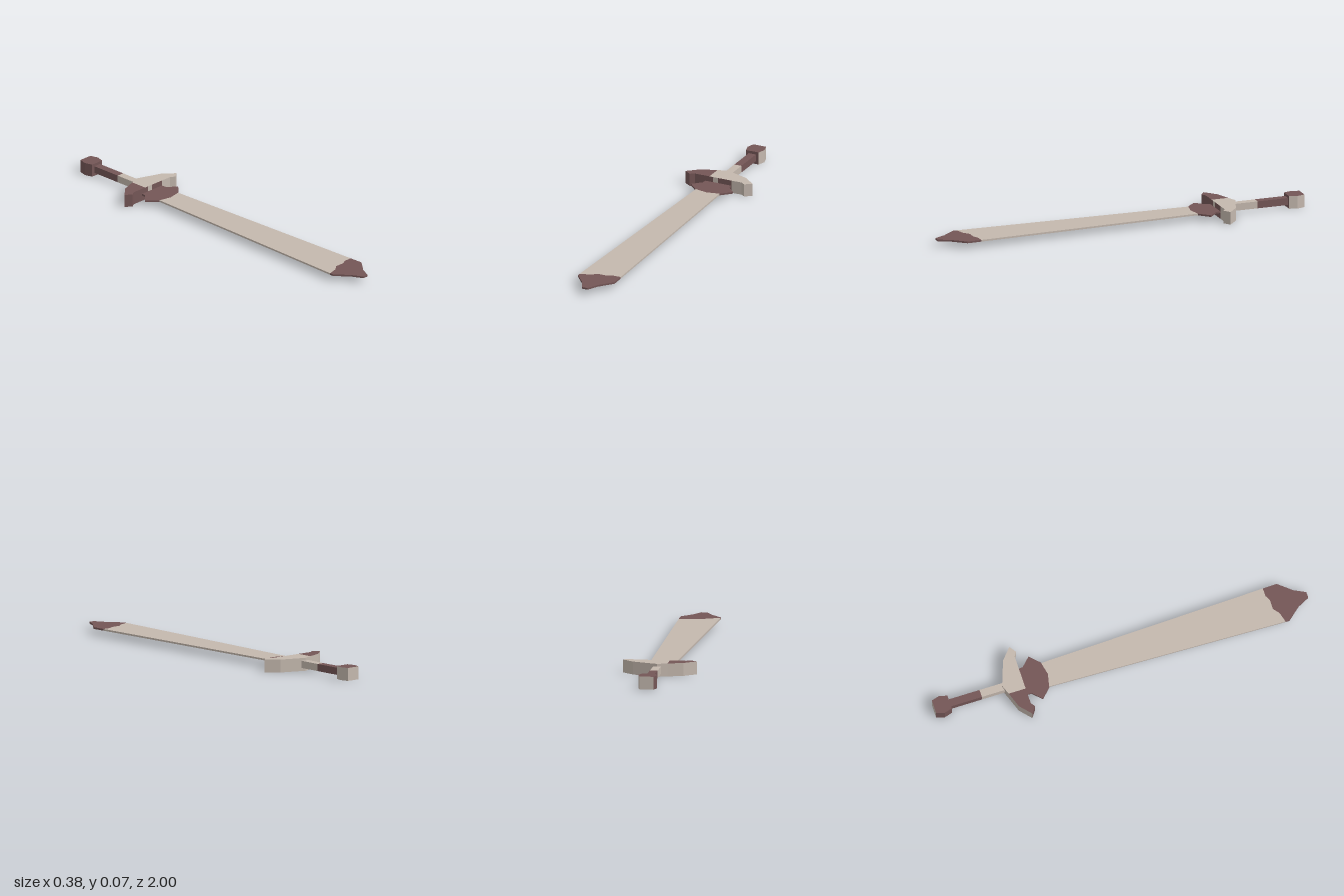
import * as THREE from 'three';

export function createModel() {
  const group = new THREE.Group();
  group.name = 'sword';

  const pale = new THREE.MeshStandardMaterial({ color: 0xc4b8ae });
  pale.name = 'pale steel';
  const brown = new THREE.MeshStandardMaterial({ color: 0x745656 });
  brown.name = 'dark brown';

  // Upright prism from an outline of [x, z] points; isBrown picks each face's colour.
  function prism(name, outline, y0, y1, isBrown) {
    const shape = new THREE.Shape(outline.map(([x, z]) => new THREE.Vector2(x, -z)));
    const geo = new THREE.ExtrudeGeometry(shape, { depth: y1 - y0, bevelEnabled: false });
    geo.rotateX(-Math.PI / 2).translate(0, y0, 0);
    geo.clearGroups();
    const pos = geo.attributes.position;
    const tri = new THREE.Triangle();
    const n = new THREE.Vector3();
    const c = new THREE.Vector3();
    for (let i = 0; i < pos.count; i += 3) {
      tri.setFromAttributeAndIndices(pos, i, i + 1, i + 2);
      tri.getNormal(n);
      tri.a.clone().min(tri.b).min(tri.c).add(tri.a.clone().max(tri.b).max(tri.c));
      c.copy(tri.a).min(tri.b).min(tri.c);
      c.add(tri.a.clone().max(tri.b).max(tri.c)).multiplyScalar(0.5);
      geo.addGroup(i, 3, isBrown(n, c) ? 1 : 0);
    }
    const mesh = new THREE.Mesh(geo, [pale, brown]);
    mesh.name = name;
    group.add(mesh);
  }

  // Closes a right-hand run of points with its mirror image.
  const mirrored = (pts) => [...pts, ...pts.filter((p) => p[0] > 0).reverse().map(([x, z]) => [-x, z])];
  const allPale = () => false;
  const allBrown = () => true;

  // Flat blade: collar, long widening body and stubby tip
  const low = 0.03, high = 0.039;
  prism('bladeCollar', [
    [0.07, -0.54], [0.075, -0.5], [0.12, -0.455], [0.07, -0.405],
    [0, -0.39], [-0.07, -0.405], [-0.12, -0.455], [-0.075, -0.5], [-0.07, -0.54],
  ], low, high, allBrown);
  prism('bladeBody', [
    [-0.067, -0.405], [0, -0.39], [0.067, -0.405], [0.102, 0.795],
    [0.06, 0.795], [0.03, 0.81], [-0.02, 0.81], [-0.05, 0.835], [-0.104, 0.85],
  ], low, high, allPale);
  prism('bladeTip', [
    [0.102, 0.795], [0.104, 0.87], [0.045, 0.94], [0.015, 1], [-0.015, 1], [-0.045, 0.94],
    [-0.104, 0.87], [-0.104, 0.85], [-0.05, 0.835], [-0.02, 0.81], [0.03, 0.81], [0.06, 0.795],
  ], low, high, allBrown);

  // Curved guard in two pieces, meeting where the colour on top changes
  prism('guardRight', [
    [-0.05, -0.616], [-0.13, -0.588], [-0.19, -0.535], [-0.155, -0.51], [-0.133, -0.525], [-0.05, -0.525],
  ], 0, 0.067, (n) => n.y > 0.5 || n.z > 0.1);
  prism('guardLeft', [
    [-0.05, -0.616], [0, -0.635], [0.13, -0.588], [0.19, -0.535], [0.155, -0.51], [0.133, -0.525],
    [0.075, -0.525], [0, -0.525], [-0.03, -0.525], [-0.05, -0.525],
  ], 0, 0.067, (n, c) => n.z > 0.9 && (c.x < -0.03 || (c.x > 0 && c.x < 0.075)));

  // Square grip in two colours
  const grip = (z0, z1) => [[-0.02, z0], [0.02, z0], [0.02, z1], [-0.02, z1]];
  prism('gripFront', grip(-0.75, -0.62), 0.016, 0.053, allPale);
  prism('gripBack', grip(-0.93, -0.75), 0.016, 0.053, allBrown);

  // Six-sided pommel
  prism('pommel', mirrored([[0.036, -1], [0.048, -0.957], [0.036, -0.916]]), 0, 0.067,
    (n) => n.y > 0.5 || n.x < -0.5 || n.z > 0.9);

  return group;
}
